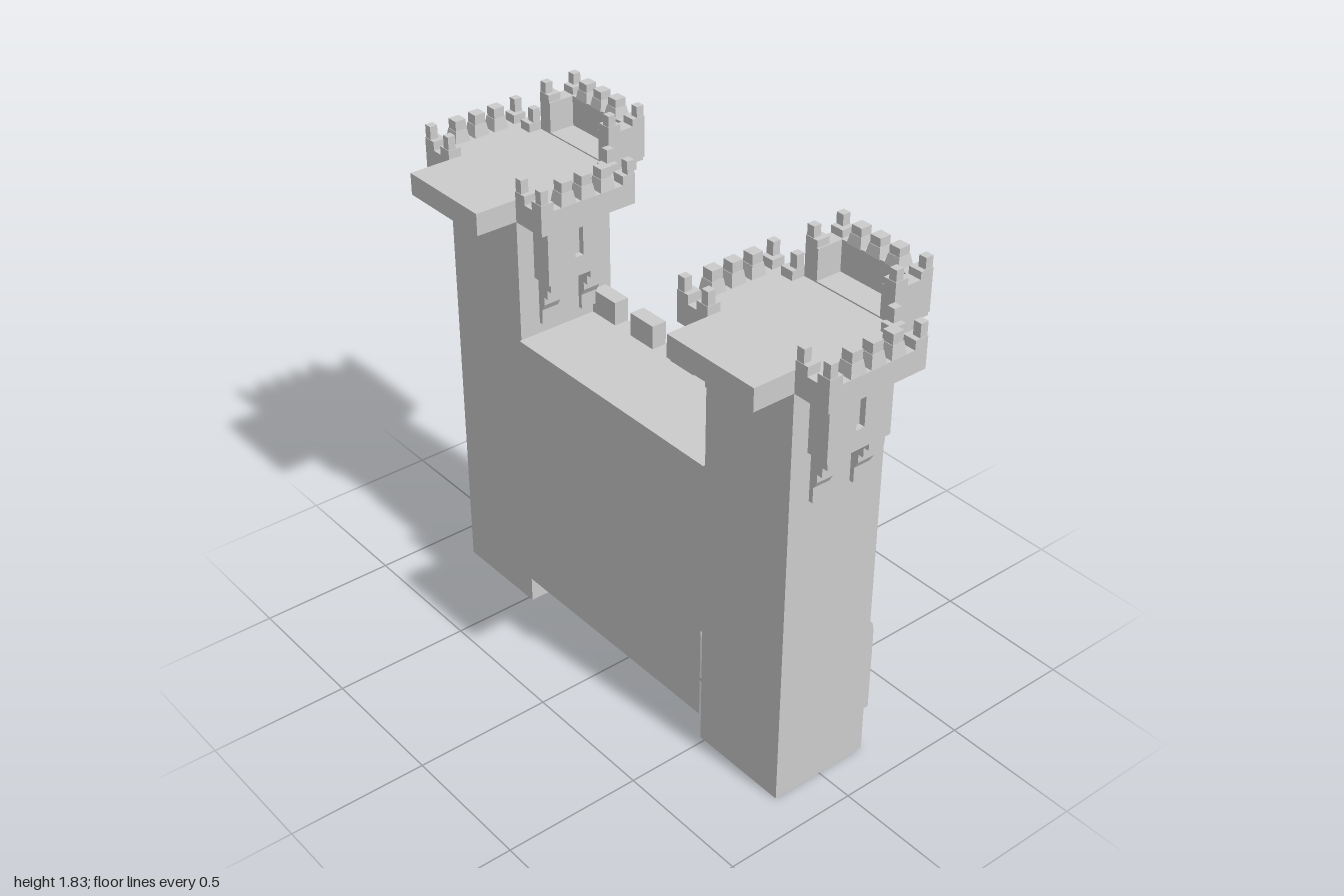
import * as THREE from 'three';

const mat = new THREE.MeshStandardMaterial({ color: 0xcccccc, flatShading: true, side: THREE.DoubleSide });

function add(parent, name, geo) {
  const m = new THREE.Mesh(geo, mat);
  m.name = name;
  parent.add(m);
  return m;
}

// Box given by its min and max corners
function block(parent, name, x0, x1, y0, y1, z0, z1) {
  const m = add(parent, name, new THREE.BoxGeometry(x1 - x0, y1 - y0, z1 - z0));
  m.position.set((x0 + x1) / 2, (y0 + y1) / 2, (z0 + z1) / 2);
  return m;
}

// Box keeping only the listed sides (0 +x, 1 -x, 2 +y, 3 -y, 4 +z, 5 -z)
function shell(parent, name, sides, ...corners) {
  const geo = block(parent, name, ...corners).geometry;
  const index = Array.from(geo.index.array);
  geo.setIndex(sides.flatMap(s => index.slice(s * 6, s * 6 + 6)));
  geo.clearGroups();
}

function rect(T, u0, u1, y0, y1) {
  return new T([[u0, y0], [u1, y0], [u1, y1], [u0, y1]].map(p => new THREE.Vector2(...p)));
}

// Flat sheet facing +x at x, cut from a (z, y) shape that is symmetric in z
function sheet(parent, name, shape, x) {
  const m = add(parent, name, new THREE.ShapeGeometry(shape, 10));
  m.rotation.y = Math.PI / 2;
  m.position.x = x;
}

// Upright plate facing +x, from x0 to x1
function plate(parent, name, shape, x0, x1) {
  const geo = new THREE.ExtrudeGeometry(shape, { depth: x1 - x0, bevelEnabled: false, curveSegments: 10 });
  const m = add(parent, name, geo);
  m.rotation.y = Math.PI / 2;
  m.position.x = x0;
}

// Splayed window recess facing +x, narrowing by t towards its flat back
function recess(parent, name, z, w, y0, y1, t, x, depth) {
  const pos = [], index = [0, 1, 2, 0, 2, 3].map(i => i + 4);
  for (const [inset, px] of [[0, x], [t, x - depth]]) {
    for (const [a, b] of [[1, 0], [-1, 0], [-1, 1], [1, 1]]) {
      pos.push(px, b ? y1 - inset : y0 + inset, z + a * (w - inset));
    }
  }
  for (let i = 0; i < 4; i++) {
    const j = (i + 1) % 4;
    index.push(i, j, j + 4, i, j + 4, i + 4);
  }
  const geo = new THREE.BufferGeometry();
  geo.setAttribute('position', new THREE.Float32BufferAttribute(pos, 3));
  geo.setIndex(index);
  const flat = geo.toNonIndexed();
  flat.computeVertexNormals();
  add(parent, name, flat);
}

// Side profile in (outward, y), extruded to a width and centred on it; outward is local +z
function profile(parent, name, points, width) {
  const geo = new THREE.ExtrudeGeometry(new THREE.Shape(points.map(p => new THREE.Vector2(...p))),
    { depth: width, bevelEnabled: false });
  geo.translate(0, 0, -width / 2);
  geo.rotateY(-Math.PI / 2);
  return add(parent, name, geo);
}

// Tapered merlon with a narrower square head
function merlon(parent, x, y, z, h) {
  const base = add(parent, 'merlonBase', new THREE.CylinderGeometry(0.023 * Math.SQRT2, 0.03 * Math.SQRT2, h * 0.55, 4));
  base.rotation.y = Math.PI / 4;
  base.position.set(x, y + h * 0.275, z);
  block(parent, 'merlonHead', x - 0.021, x + 0.021, y + h * 0.5, y + h, z - 0.021, z + 0.021);
}

// Three-sided battlement: spans width on x, reaches from z = 0 out to depth
function crown(parent, width, depth, y0, floor, wallTop, top) {
  const g = new THREE.Group();
  g.name = 'battlement';
  parent.add(g);
  const w = width / 2, t = 0.055, h = top - wallTop;
  block(g, 'battlementFloor', -w, w, y0, floor, 0, depth);
  if (wallTop > floor) block(g, 'parapetFront', -w + t, w - t, floor, wallTop, depth - t, depth);
  for (const s of [-1, 1]) {
    const side = (a, b) => s < 0 ? [-w + a, -w + b] : [w - b, w - a];
    if (wallTop > floor) block(g, 'parapetSide', ...side(0, t), floor, wallTop, 0, depth);
    for (const end of [0, 1]) {
      const span = (a, b) => end ? [depth - b, depth - a] : [a, b];
      block(g, 'cornerMerlonBase', ...side(0, 0.05), wallTop, wallTop + h * 0.4, ...span(0, 0.05));
      block(g, 'cornerMerlonPost', ...side(0.002, 0.031), wallTop, top, ...span(0.002, 0.031));
    }
  }
  for (const i of [-1, 0, 1]) merlon(g, i * 0.08, wallTop, depth - 0.031, h);
  return g;
}

// Buttress that swells outward near its foot
function buttress(parent, x, z, width, y0, y1) {
  const b = profile(parent, 'buttress', [[0, y0], [0.075, y0], [0.075, 0.43], [0.07, 0.465],
    [0.045, 0.5], [0.03, 0.53], [0.02, 0.57], [0.02, y1], [0, y1]], width);
  b.rotation.y = Math.PI / 2;
  b.position.set(x, 0, z);
}

// Small bay hanging on a tower flank, with stepped brackets
function flankBay(parent, s) {
  const g = new THREE.Group();
  g.name = 'flankBay';
  parent.add(g);
  block(g, 'bayCore', -0.128, 0.128, 1.34, 1.57, 0, 0.06);
  const face = rect(THREE.Shape, -0.128, 0.128, 1.34, 1.57);
  face.holes.push(rect(THREE.Path, -0.017, 0.017, 1.412, 1.518));
  const m = add(g, 'bayFace', new THREE.ExtrudeGeometry(face, { depth: 0.022, bevelEnabled: false }));
  m.position.z = 0.06;
  for (const x of [-0.08, 0.087]) {
    profile(g, 'bayBracket', [[0, 1.16], [0.016, 1.16], [0.016, 1.215], [0.03, 1.24], [0.03, 1.27],
      [0.05, 1.27], [0.05, 1.305], [0.07, 1.305], [0.07, 1.34], [0, 1.34]], 0.066).position.x = s * x;
  }
  crown(g, 0.385, 0.14, 1.57, 1.65, 1.65, 1.73);
  g.position.set(-0.0025, 0, s * 0.19);
  if (s < 0) g.rotation.y = Math.PI;
}

function tower(parent) {
  const g = new THREE.Group();
  g.name = 'tower';
  parent.add(g);
  // Hollow shaft, open underneath
  shell(g, 'towerShaft', [1, 4, 5], -0.195, 0.19, 0, 1.57, -0.19, 0.19);
  const face = rect(THREE.Shape, -0.19, 0.19, 0, 1.57);
  face.holes.push(rect(THREE.Path, -0.039, 0.039, 0.74, 1.325));
  sheet(g, 'towerFace', face, 0.19);
  recess(g, 'towerWindow', 0, 0.039, 0.74, 1.325, 0.016, 0.19, 0.03);
  block(g, 'roofSlab', -0.35, 0.19, 1.57, 1.65, -0.19, 0.19);
  for (const s of [-1, 1]) {
    buttress(g, 0.19, s * 0.0975, 0.08, 0.107, 1.58);
    flankBay(g, s);
  }
  // Front battlement on stepped corbels with sloped soffits between them
  const top = crown(g, 0.38, 0.153, 1.64, 1.65, 1.765, 1.83);
  top.rotation.y = Math.PI / 2;
  top.position.x = 0.19;
  profile(top, 'soffit', [[0, 1.58], [0.02, 1.58], [0.11, 1.655], [0, 1.655]], 0.36);
  for (let i = -2; i <= 2; i++) {
    const edge = Math.abs(i) === 2;
    profile(top, 'corbel', [[0, 1.53], [0.02, 1.53], [0.02, 1.555], [0.05, 1.555], [0.05, 1.578], [0.085, 1.578],
      [0.085, 1.602], [0.118, 1.602], [0.118, 1.63], [0.148, 1.63], [0.148, 1.655], [0, 1.655]],
      edge ? 0.03 : 0.034).position.x = edge ? Math.sign(i) * 0.174 : i * 0.09;
  }
  return g;
}

// Pointed arch outline, drawn onto a path from its left foot to its right foot
function arch(p, w, y0, spring, apex) {
  const shoulder = spring + (apex - spring) * 0.62;
  p.lineTo(-w, y0);
  p.lineTo(-w, spring);
  p.quadraticCurveTo(-w * 0.8, shoulder, 0, apex);
  p.quadraticCurveTo(w * 0.8, shoulder, w, spring);
  p.lineTo(w, y0);
  return p;
}

function gateWall(parent) {
  const g = new THREE.Group();
  g.name = 'gateWall';
  parent.add(g);
  // Hollow wall, open underneath
  shell(g, 'wallBackAndTop', [1, 2], -0.2, 0.13, 0.11, 1.12, -0.48, 0.48);
  const face = new THREE.Shape();
  face.moveTo(-0.48, 0.11);
  arch(face, 0.132, 0.11, 0.57, 0.757);
  for (const p of [[0.48, 0.11], [0.48, 1.05], [-0.48, 1.05]]) face.lineTo(...p);
  for (const s of [-1, 1]) {
    face.holes.push(rect(THREE.Path, s * 0.238 - 0.022, s * 0.238 + 0.022, 0.55, 0.79));
    face.holes.push(rect(THREE.Path, s * 0.114 - 0.015, s * 0.114 + 0.015, 0.91, 1.005));
    recess(g, 'wallWindow', s * 0.238, 0.022, 0.55, 0.79, 0.009, 0.085, 0.025);
    recess(g, 'wallSlit', s * 0.114, 0.015, 0.91, 1.005, 0.006, 0.085, 0.025);
    for (const z of [0.188, 0.292]) buttress(g, 0.085, s * z, 0.047, 0.29, 1.05);
  }
  sheet(g, 'wallFace', face, 0.085);
  // Deep gate recess with a slim stepped edge
  const rim = new THREE.Shape();
  rim.moveTo(-0.121, 0.11);
  arch(rim, 0.132, 0.11, 0.57, 0.757);
  rim.lineTo(0.121, 0.11);
  rim.lineTo(0.121, 0.57);
  rim.quadraticCurveTo(0.097, 0.676, 0, 0.74);
  rim.quadraticCurveTo(-0.097, 0.676, -0.121, 0.57);
  plate(g, 'gateJamb', rim, -0.045, 0.078);
  plate(g, 'gateEdge', rim, 0.078, 0.085);
  const door = new THREE.Shape();
  door.moveTo(-0.13, 0.11);
  sheet(g, 'gateBack', arch(door, 0.13, 0.11, 0.57, 0.755), -0.045);
  // Overhanging parapet, crenellated in one piece
  const parapet = new THREE.Shape();
  parapet.moveTo(-0.48, 1.04);
  for (const [a, b] of [[-0.48, -0.357], [-0.272, -0.153], [-0.06, 0.06], [0.153, 0.272], [0.357, 0.48]]) {
    for (const p of [[a, 1.12], [a, 1.208], [b, 1.208], [b, 1.12]]) parapet.lineTo(...p);
  }
  parapet.lineTo(0.48, 1.04);
  plate(g, 'parapet', parapet, 0.115, 0.172);
  block(g, 'parapetUnderside', 0.08, 0.12, 1.04, 1.06, -0.48, 0.48);
}

export function createModel() {
  const model = new THREE.Group();
  model.name = 'castleGate';
  for (const s of [-1, 1]) tower(model).position.set(0.003, 0, s * 0.67);
  gateWall(model);
  return model;
}
